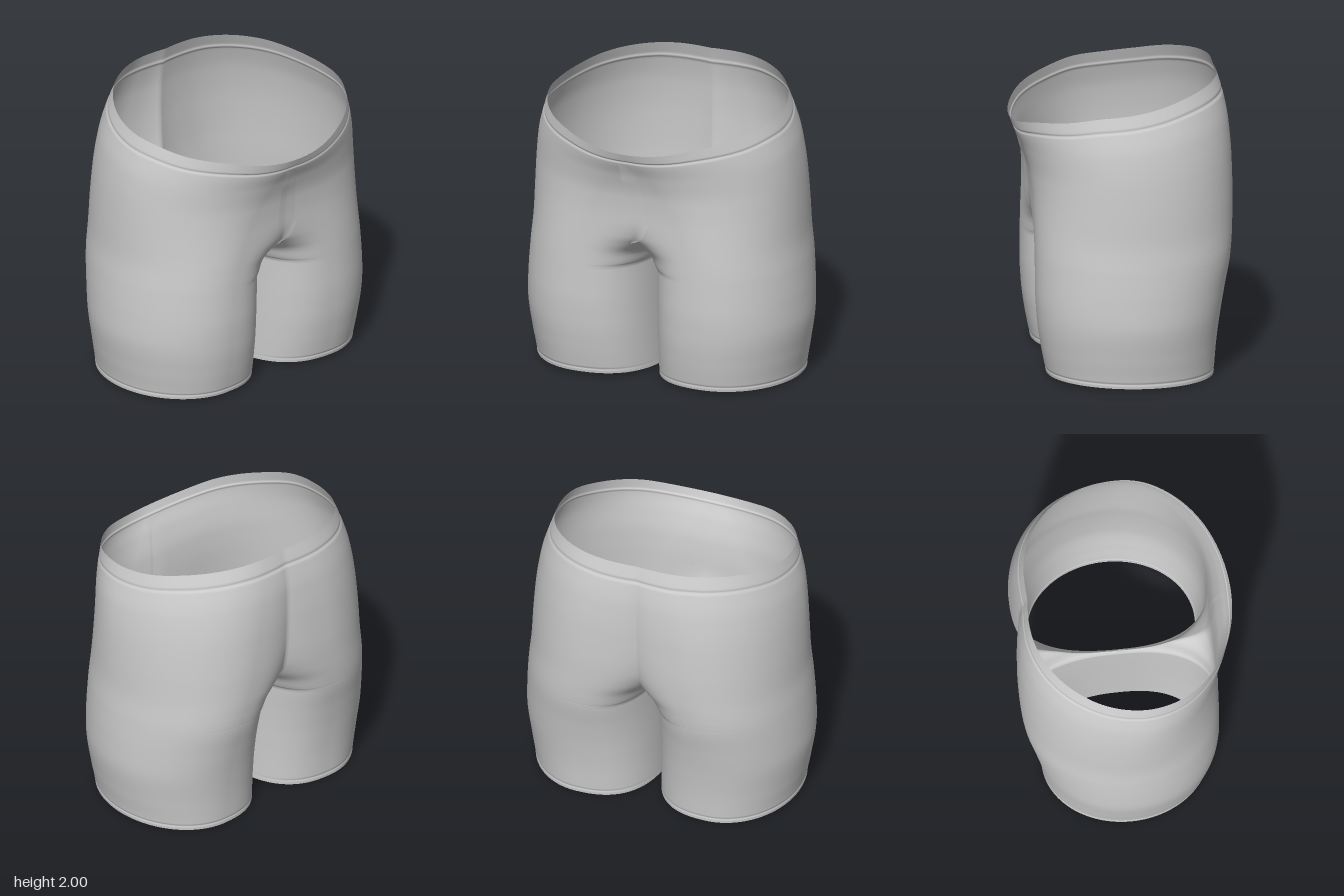
import * as THREE from 'three';
import { mergeVertices } from 'three/addons/utils/BufferGeometryUtils.js';

// Smooth monotone curve through [position, value] pairs
function curve(pts) {
  const d = pts.slice(1).map((p, i) => (p[1] - pts[i][1]) / (p[0] - pts[i][0]));
  const m = pts.map((_, i) => {
    if (i === 0) return d[0];
    if (i === pts.length - 1) return d[i - 1];
    return d[i - 1] * d[i] <= 0 ? 0 : 2 * d[i - 1] * d[i] / (d[i - 1] + d[i]);
  });
  return (x) => {
    x = Math.min(Math.max(x, pts[0][0]), pts[pts.length - 1][0]);
    let i = 0;
    while (i < pts.length - 2 && x > pts[i + 1][0]) i++;
    const w = pts[i + 1][0] - pts[i][0], t = (x - pts[i][0]) / w, t2 = t * t, t3 = t2 * t;
    return (2 * t3 - 3 * t2 + 1) * pts[i][1] + (t3 - 2 * t2 + t) * w * m[i]
      + (3 * t2 - 2 * t3) * pts[i + 1][1] + (t3 - t2) * w * m[i + 1];
  };
}

const TOP = 1.87, CROTCH = 0.81, BAND = 1.775, HEM = 0.032;
const POWER = 2.5; // squareness of the inner half of each leg

// Outline of one half by height: outer side, front, back
const outer = curve([[0, 0.925], [0.05, 0.93], [0.2, 0.955], [0.45, 0.985], [0.6, 0.98], [0.8, 0.965],
  [1, 0.945], [1.2, 0.937], [1.4, 0.925], [1.6, 0.9], [1.75, 0.86], [1.87, 0.82]]);
const front = curve([[0, 0.53], [0.2, 0.565], [0.4, 0.59], [0.6, 0.6], [1, 0.6], [1.2, 0.602],
  [1.4, 0.615], [1.6, 0.655], [1.75, 0.7], [1.87, 0.73]]);
const back = curve([[0, -0.59], [0.2, -0.605], [0.4, -0.63], [0.6, -0.665], [0.8, -0.705], [1, -0.725],
  [1.2, -0.733], [1.4, -0.73], [1.6, -0.715], [1.75, -0.685], [1.87, -0.645]]);
const middle = curve([[0, -0.03], [1, -0.02], [1.87, 0.06]]);
// Where each half is deepest, front and back
const crestFront = curve([[0, 0.46], [0.4, 0.46], [0.8, 0.43], [1.2, 0.32], [1.6, 0.14], [1.87, 0]]);
const crestBack = curve([[0, 0.46], [0.4, 0.46], [0.8, 0.42], [1.1, 0.34], [1.4, 0.28], [1.87, 0.15]]);
// Inner side of the leg; once below zero the two halves join at the centre
const leg = [[0, 0.004], [0.3, 0.009], [0.8, 0.015], [CROTCH, 0]];
const innerFront = curve([...leg, [0.9, -0.05], [0.97, -0.18], [1.06, -0.45], [1.25, -0.9], [1.87, -0.9]]);
const innerBack = curve([...leg, [0.9, -0.05], [0.98, -0.14], [1.1, -0.25], [1.3, -0.33], [1.6, -0.38], [1.87, -0.5]]);
// Waist tilt: low in front, high behind
const tilt = curve([[-0.65, 0.13], [-0.4, 0.08], [-0.2, 0.035], [0, 0.005], [0.2, -0.015], [0.4, -0.06],
  [0.6, -0.11], [0.73, -0.18]]);

const height = (h, z) => h + Math.max(0, (h - 1) / (TOP - 1)) * tilt(z)
  + Math.max(0, 1 - h / 0.3) * (0.015 + 0.02 * z);

function section(h, isFront) {
  // Shallow stitched grooves below the waistband and above the hems
  const groove = 0.005 * Math.exp(-(((h - BAND) / 0.011) ** 2)) + 0.004 * Math.exp(-(((h - HEM) / 0.008) ** 2));
  const X = outer(h) - groove;
  const inner = (isFront || h <= CROTCH ? innerFront : innerBack)(h);
  const c = (isFront ? crestFront : crestBack)(h), cz = middle(h);
  return { c, out: X - c, inn: c - inner, cz, rz: (isFront ? front(h) - cz : back(h) - cz) * (1 - 1.6 * groove) };
}

// Point at t along a section: 0 at the outer side, 1 at the centre line
function sectionPoint(s, t) {
  const end = Math.acos(-Math.min(1, (s.c / s.inn) ** (POWER / 2)));
  const a = t * end, cos = Math.cos(a), sin = Math.max(0, Math.sin(a));
  if (cos >= 0) return [s.c + s.out * cos, s.cz + s.rz * sin];
  return [Math.max(0, s.c - s.inn * (-cos) ** (2 / POWER)), s.cz + s.rz * sin ** (2 / POWER)];
}

function finish(pos, index) {
  let g = new THREE.BufferGeometry();
  g.setAttribute('position', new THREE.Float32BufferAttribute(pos, 3));
  g.setIndex(index);
  g = mergeVertices(g, 1e-4);
  g.computeVertexNormals();
  return g;
}

// Both mirrored halves as one smooth skin
function body() {
  const levels = [TOP];
  for (let i = 0; i <= 93; i++) levels.push(i * 0.02);
  for (let i = -6; i <= 6; i++) levels.push(BAND + i * 0.004, HEM + i * 0.004, CROTCH + (i + 6) * 0.006);
  const rows = [...new Set(levels.map((v) => +v.toFixed(4)))].sort((a, b) => a - b);
  const n = 112, pos = [], index = [];
  for (const side of [1, -1]) {
    const base = pos.length / 3;
    rows.forEach((h, r) => {
      const f = section(h, true), b = section(h, false);
      for (let j = 0; j <= n; j++) {
        const t = 1 - 2 * j / n;
        const [x, z] = sectionPoint(t >= 0 ? f : b, Math.abs(t));
        pos.push(side * x, height(h, z), z);
        if (r && j < n) {
          const p = base + (r - 1) * (n + 1) + j, q = p + n + 1;
          if (side > 0) index.push(p, p + 1, q, p + 1, q + 1, q);
          else index.push(p, q, p + 1, p + 1, q, q + 1);
        }
      }
    });
  }
  return finish(pos, index);
}

// Thin overlapping flap on the front, raised along its left-hand edge and lower curve
function flap() {
  const right = curve([[1, -0.03], [1.03, 0.03], [1.08, 0.07], [1.22, 0.11], [1.74, 0.06]]);
  const pos = [], index = [], rows = 40, cols = 10;
  for (let r = 0; r <= rows; r++) {
    const v = r / rows, h = 1 + 0.74 * v, s = section(h, true);
    const low = Math.max(0, 1 - v / 0.3);
    for (let c = 0; c <= cols; c++) {
      const u = c / cols, x = -0.06 + (right(h) + 0.06) * u;
      const k = Math.max(0, s.c - Math.abs(x)) / s.inn;
      const z = s.cz + s.rz * (1 - k ** POWER) ** (1 / POWER);
      const lift = 0.011 * Math.max((1 - u) * Math.min(1, (1 - v) * 4), low * u) - 0.002 * u * (1 - low);
      pos.push(x, height(h, z), z + lift);
      if (r && c < cols) {
        const p = (r - 1) * (cols + 1) + c, q = p + cols + 1;
        index.push(p, p + 1, q, p + 1, q + 1, q);
      }
    }
  }
  return finish(pos, index);
}

export function createModel() {
  const fabric = new THREE.MeshStandardMaterial({ color: 0xcccccc, side: THREE.DoubleSide });
  fabric.name = 'grey fabric';
  const group = new THREE.Group();
  group.name = 'shorts';
  const add = (name, geometry) => {
    const mesh = new THREE.Mesh(geometry, fabric);
    mesh.name = name;
    group.add(mesh);
  };
  add('shortsBody', body());
  add('frontFlap', flap());
  return group;
}
